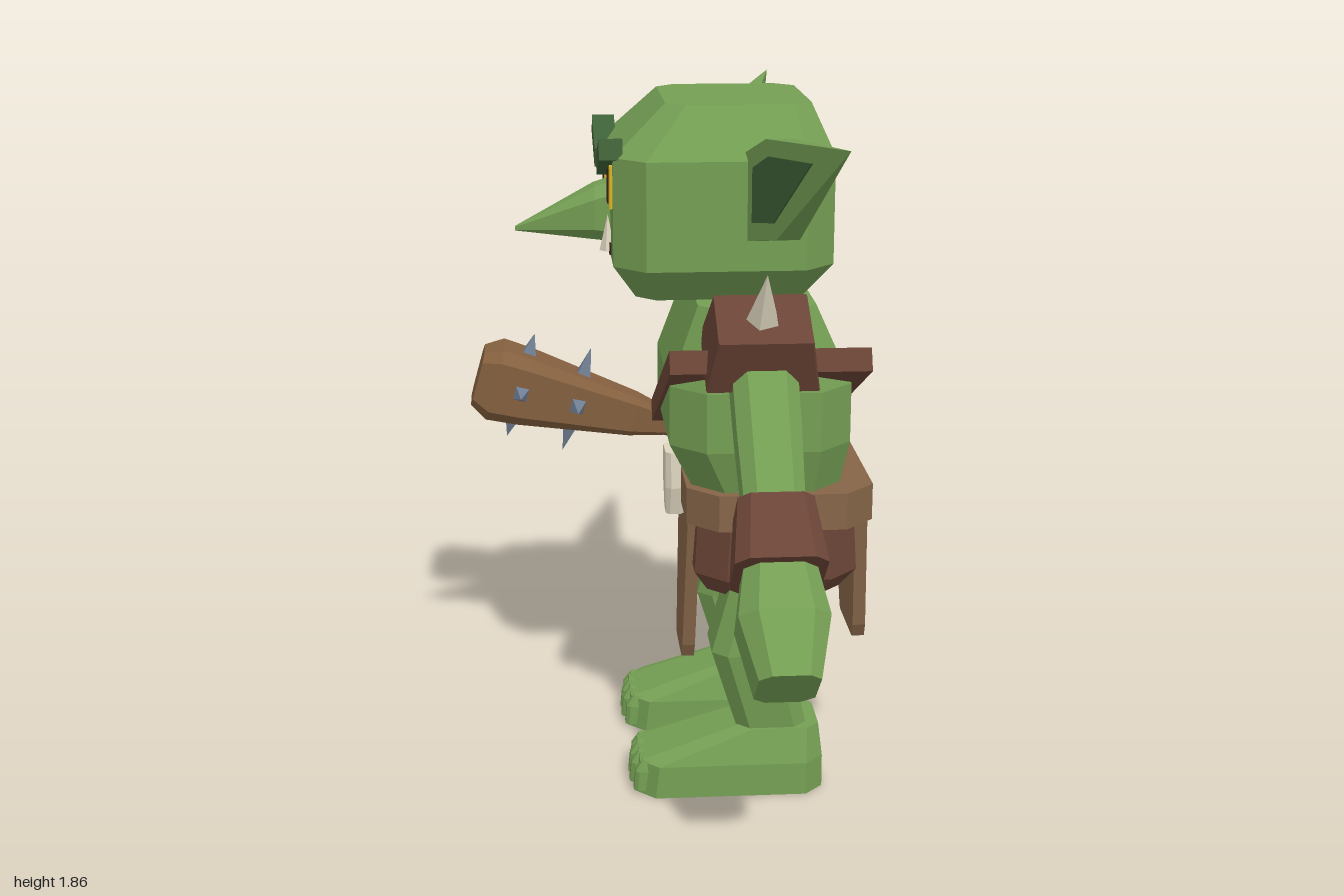
import * as THREE from 'three';

const mat = (name, color) => {
  const m = new THREE.MeshStandardMaterial({ color });
  m.name = name;
  return m;
};

// Flat facets: every triangle gets its own normals
const facet = (g) => {
  const f = g.index ? g.toNonIndexed() : g;
  f.computeVertexNormals();
  return f;
};

// Stack of chamfered rectangles; each section is [y, centreX, centreZ, width, depth, chamfer]
function loft(sections) {
  const rings = sections.map(([y, cx, cz, w, d, c]) => {
    const a = w / 2, b = d / 2;
    return [[a, c - b], [a, b - c], [a - c, b], [c - a, b], [-a, b - c], [-a, c - b], [c - a, -b], [a - c, -b]]
      .map(([p, q]) => [cx + p, y, cz - q]);
  });
  const pos = [];
  const tri = (...pts) => pts.forEach((p) => pos.push(...p));
  for (let r = 0; r < rings.length - 1; r++) {
    const lo = rings[r], hi = rings[r + 1];
    for (let i = 0; i < 8; i++) {
      const j = (i + 1) % 8;
      tri(lo[i], lo[j], hi[j]);
      tri(lo[i], hi[j], hi[i]);
    }
  }
  const first = rings[0], last = rings[rings.length - 1];
  for (let i = 1; i < 7; i++) {
    tri(last[0], last[i], last[i + 1]);
    tri(first[0], first[i + 1], first[i]);
  }
  const g = new THREE.BufferGeometry();
  g.setAttribute('position', new THREE.Float32BufferAttribute(pos, 3));
  return facet(g);
}

const polygon = (pts, side = 1) => new THREE.Shape(pts.map(([x, y]) => new THREE.Vector2(x * side, y)));

export function createModel() {
  const skin = mat('green skin', 0x759f54);
  const darkSkin = mat('dark green', 0x3f6138);
  const leather = mat('dark leather', 0x6b4537);
  const hide = mat('tan hide', 0x866548);
  const wood = mat('club wood', 0x84603f);
  const bone = mat('bone', 0xddd5bf);
  const steel = mat('steel', 0x6f7e92);
  const yellow = mat('eye yellow', 0xdcb427);
  const dark = mat('dark brown', 0x2e1c18);

  // Body is built facing +z, then turned
  const body = new THREE.Group();
  body.name = 'body';
  const add = (name, geo, material, parent = body, x = 0, y = 0, z = 0) => {
    const m = new THREE.Mesh(geo, material);
    m.name = name;
    m.position.set(x, y, z);
    parent.add(m);
    return m;
  };
  const box = (w, h, d) => facet(new THREE.BoxGeometry(w, h, d));
  const spike = (r, h, n) => facet(new THREE.ConeGeometry(r, h, n).translate(0, h / 2, 0));

  // Head, neck and torso
  add('head', loft([
    [1.36, 0, -0.12, 0.46, 0.44, 0.05], [1.45, 0, -0.125, 0.62, 0.57, 0.08],
    [1.73, 0, -0.125, 0.62, 0.57, 0.08], [1.86, 0, -0.165, 0.44, 0.375, 0.05],
  ]), skin);
  add('neck', loft([[1.3, 0, -0.17, 0.22, 0.23, 0.05], [1.4, 0, -0.17, 0.22, 0.23, 0.05]]), skin);
  add('torso', loft([
    [0.82, 0, -0.25, 0.56, 0.38, 0.08], [0.97, 0, -0.225, 0.65, 0.48, 0.09],
    [1.13, 0, -0.225, 0.65, 0.48, 0.09], [1.34, 0, -0.215, 0.56, 0.31, 0.07],
  ]), skin);

  // Nose: a tapered section stack laid forward
  const nose = loft([[0, 0, 0.02, 0.15, 0.16, 0.03], [0.05, 0, 0.025, 0.14, 0.14, 0.03], [0.26, 0, 0.07, 0.008, 0.012, 0.002]]);
  nose.rotateX(Math.PI / 2);
  add('nose', nose, skin, body, 0, 1.58, 0.15);
  add('mouth', box(0.26, 0.03, 0.008), dark, body, 0, 1.475, 0.161);

  const earOutline = [[0.27, 1.52], [0.46, 1.56], [0.8, 1.83], [0.4, 1.8], [0.27, 1.74]];
  const innerOutline = [[0.34, 1.58], [0.45, 1.6], [0.63, 1.775], [0.42, 1.76], [0.34, 1.72]];
  // Sweep the ear backward and thin it toward the tip
  const earGeometry = (outline, side, back, front, lift) => {
    const g = new THREE.ExtrudeGeometry(polygon(outline, side), { depth: 1, bevelEnabled: false });
    const p = g.attributes.position;
    for (let i = 0; i < p.count; i++) {
      const t = (Math.abs(p.getX(i)) - 0.28) / 0.52;
      const zFront = -(0.165 + 0.19 * t), zBack = -(0.255 + 0.1 * t);
      p.setZ(i, p.getZ(i) > 0.5 ? zFront + front : (lift ? zFront + back : zBack));
    }
    return facet(g);
  };

  for (const side of [1, -1]) {
    const label = side > 0 ? 'left' : 'right';

    // Face and ears
    add(label + 'Ear', earGeometry(earOutline, side, 0, 0, false), skin);
    add(label + 'InnerEar', earGeometry(innerOutline, side, -0.002, 0.004, true), darkSkin);
    add(label + 'Eye', box(0.13, 0.11, 0.009), yellow, body, side * 0.14, 1.65, 0.163);
    add(label + 'Pupil', box(0.035, 0.09, 0.006), dark, body, side * 0.13, 1.645, 0.168);
    add(label + 'Brow', box(0.19, 0.055, 0.06), darkSkin, body, side * 0.145, 1.72, 0.165).rotation.z = side * 0.35;
    add(label + 'Tusk', spike(0.022, 0.095, 5), bone, body, side * 0.1, 1.468, 0.168);

    // Arm pointing down and outward along its own y
    const arm = new THREE.Group();
    arm.name = label + 'Arm';
    arm.position.set(side * 0.3, 1.25, -0.215);
    arm.rotation.z = -side * 2.4;
    body.add(arm);
    add(label + 'ArmLimb', loft([
      [-0.04, 0, 0, 0.13, 0.14, 0.03], [0.05, 0, 0, 0.17, 0.17, 0.035],
      [0.26, 0, 0, 0.155, 0.165, 0.035], [0.5, 0, 0, 0.135, 0.15, 0.03],
    ]), skin, arm);
    add(label + 'Cuff', loft([[0.455, 0, 0, 0.2, 0.19, 0.03], [0.635, 0, 0, 0.24, 0.23, 0.035]]), leather, arm);
    add(label + 'Hand', loft([
      [0.6, 0, 0, 0.17, 0.17, 0.035], [0.76, 0, 0, 0.21, 0.225, 0.045], [0.925, 0, 0, 0.195, 0.15, 0.03],
    ]), skin, arm);

    // Leg, foot and toes
    add(label + 'Leg', loft([
      [0.16, side * 0.215, -0.265, 0.18, 0.19, 0.035], [0.4, side * 0.225, -0.2, 0.21, 0.21, 0.04],
      [0.66, side * 0.2, -0.285, 0.21, 0.23, 0.04], [0.78, side * 0.19, -0.3, 0.18, 0.22, 0.04],
    ]), skin);
    add(label + 'Foot', loft([
      [0, side * 0.215, -0.145, 0.27, 0.51, 0.05], [0.09, side * 0.215, -0.15, 0.265, 0.5, 0.05],
      [0.18, side * 0.215, -0.28, 0.2, 0.22, 0.035],
    ]), skin);
    for (let i = 0; i < 4; i++) {
      add(label + 'Toe', loft([[0.01, 0, 0.005, 0.046, 0.07, 0.01], [0.065, 0, 0, 0.046, 0.07, 0.01], [0.095, 0, -0.01, 0.03, 0.05, 0.008]]),
        skin, body, side * 0.215 + (i - 1.5) * 0.056, 0, 0.09 - Math.abs(i - 1.5) * 0.008);
    }
  }

  // Shorts, belt and cloth flaps
  add('shorts', loft([
    [0.545, 0, -0.27, 0.5, 0.36, 0.06], [0.6, 0, -0.275, 0.58, 0.44, 0.08], [0.78, 0, -0.275, 0.56, 0.42, 0.08],
  ]), leather);
  add('belt', loft([[0.75, 0, -0.28, 0.63, 0.5, 0.08], [0.85, 0, -0.28, 0.63, 0.5, 0.08]]), hide);
  const flap = (name, half, bottomHalf, bottom, z, slant) => {
    const g = new THREE.ExtrudeGeometry(polygon([
      [-half, 0.8], [-bottomHalf - 0.02, bottom + 0.04], [-bottomHalf, bottom],
      [bottomHalf, bottom], [bottomHalf + 0.02, bottom + 0.04], [half, 0.8],
    ]), { depth: 0.035, bevelEnabled: false });
    const p = g.attributes.position;
    for (let i = 0; i < p.count; i++) p.setZ(i, p.getZ(i) + z + slant * (0.8 - p.getY(i)));
    add(name, facet(g), hide);
  };
  flap('frontFlap', 0.165, 0.085, 0.305, -0.077, 0.025);
  flap('backFlap', 0.165, 0.105, 0.36, -0.53, -0.025);
  add('beltOrnament', loft([
    [0.71, 0, -0.015, 0.08, 0.05, 0.01], [0.79, 0, -0.015, 0.12, 0.055, 0.015], [0.89, 0, -0.015, 0.11, 0.055, 0.015],
  ]), bone);

  // Chest strap and spiked shoulder pad
  add('strap', box(0.775, 0.062, 0.52), leather, body, 0.015, 1.065, -0.235).rotation.z = 0.435;
  const pad = new THREE.Group();
  pad.name = 'shoulderPad';
  pad.position.set(0.355, 1.28, -0.21);
  pad.rotation.z = -0.53;
  body.add(pad);
  add('padPlate', loft([[-0.075, 0, 0, 0.22, 0.29, 0.004], [0.075, 0, 0, 0.18, 0.24, 0.004]]), leather, pad);
  add('padSpike', spike(0.045, 0.155, 5), bone, pad, 0, 0.07, 0);

  // Club held in the right hand, running forward along its own y
  const club = new THREE.Group();
  club.name = 'club';
  club.position.set(-0.83, 0.62, -0.41);
  club.rotation.x = 1.296;
  body.add(club);
  add('clubShaft', loft([
    [0, 0.048], [0.06, 0.035], [0.37, 0.037], [0.48, 0.062], [0.83, 0.107], [0.93, 0.114], [0.985, 0.085],
  ].map(([y, r]) => [y, 0, 0, r * 2, r * 2, r * 0.3])), wood, club);
  for (const [y, r] of [[0.665, 0.083], [0.847, 0.106]]) {
    for (let i = 0; i < 4; i++) {
      const holder = new THREE.Group();
      holder.name = 'clubSpikeMount';
      holder.position.y = y;
      holder.rotation.y = i * Math.PI / 2;
      club.add(holder);
      const s = add('clubSpike', spike(0.034, 0.18 - r, 4).rotateY(Math.PI / 4), steel, holder, 0, 0, r - 0.008);
      s.rotation.x = Math.PI / 2;
    }
  }

  body.rotation.y = -Math.PI / 2;
  const model = new THREE.Group();
  model.name = 'clubCreature';
  model.add(body);
  return model;
}
